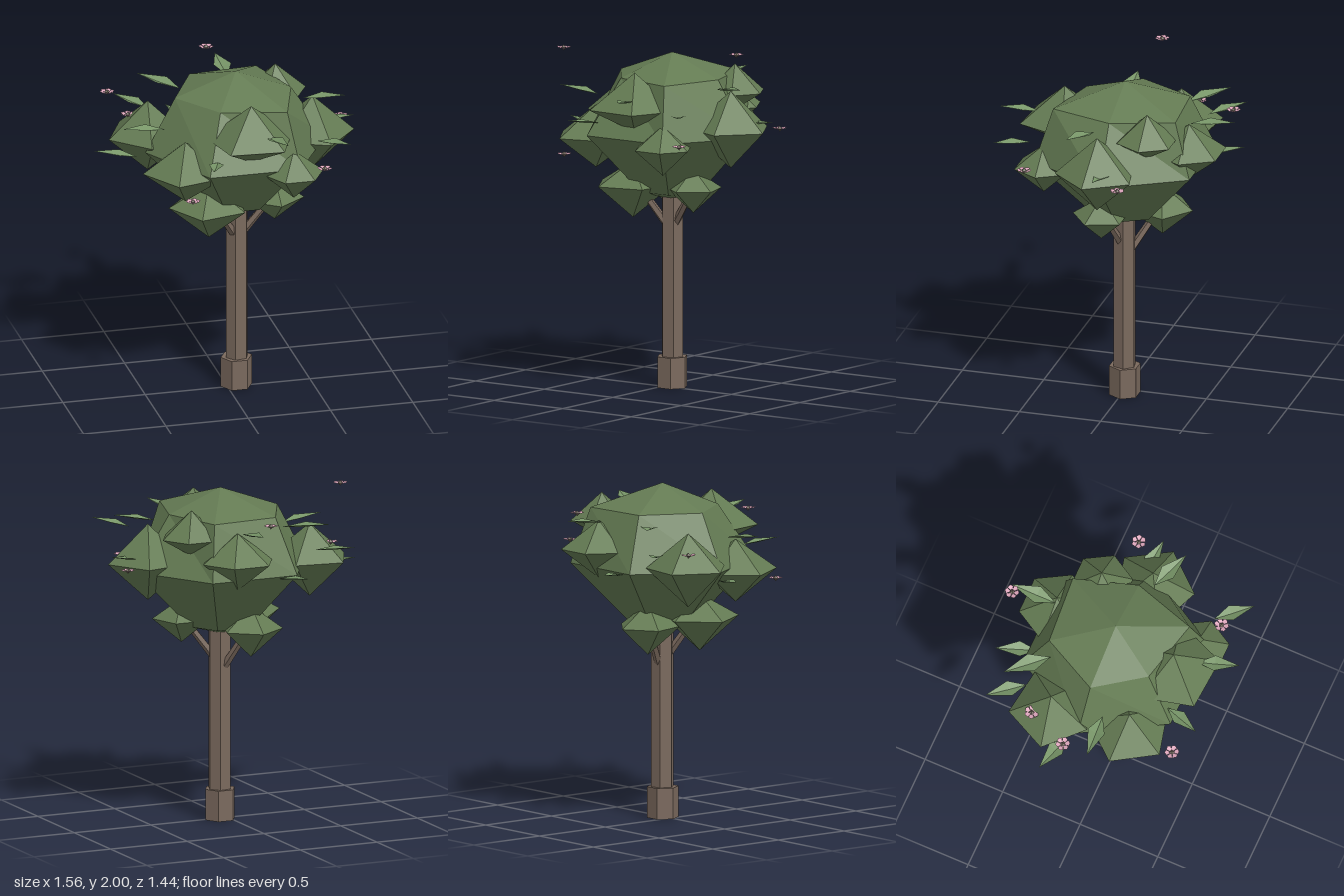
import * as THREE from 'three';

const V = (x, y, z) => new THREE.Vector3(x, y, z);
const mat = (color, extra) => new THREE.MeshStandardMaterial({ color, flatShading: true, ...extra });
const bark = mat(0x7a695d);
const foliage = mat(0x647b53);
const leafMat = mat(0x789668, { side: THREE.DoubleSide });
const petalMat = mat(0xe0a8be, { side: THREE.DoubleSide });
const budMat = mat(0x7d7368);

function add(parent, name, geometry, material, pos = V(0, 0, 0)) {
  const m = new THREE.Mesh(geometry, material);
  m.name = name;
  m.position.copy(pos);
  parent.add(m);
  return m;
}

// Faceted solid of revolution; profile [radius, y] runs bottom to top, one corner at `deg` from +x towards +z
function faceted(profile, sides, deg) {
  const pts = profile.map(([r, y]) => new THREE.Vector2(r, y));
  return new THREE.LatheGeometry(pts, sides).rotateY(THREE.MathUtils.degToRad(90 - deg));
}

// Six-sided crown whose upper ring has an uneven radius at each corner
function crownGeometry() {
  const profile = [[0, 1.12], [0.2, 1.175], [0.55, 1.535], [1, 1.865], [0, 2]];
  const g = faceted(profile, 6, 0);
  const p = g.attributes.position;
  const radii = [0.335, 0.43, 0.394, 0.37, 0.33, 0.437];
  for (let j = 0; j <= 6; j++) {
    const i = j * profile.length + 3, r = radii[j % 6];
    p.setXYZ(i, p.getX(i) * r, p.getY(i), p.getZ(i) * r);
  }
  return g;
}

// Tapered limb between two points
function limb(a, b, r0, r1, sides) {
  const d = b.clone().sub(a);
  const g = new THREE.CylinderGeometry(r1, r0, d.length(), sides);
  g.applyQuaternion(new THREE.Quaternion().setFromUnitVectors(V(0, 1, 0), d.normalize()));
  return g.translate((a.x + b.x) / 2, (a.y + b.y) / 2, (a.z + b.z) / 2);
}

// Folded pointed leaf of unit length along +z
function leafGeometry() {
  const g = new THREE.BufferGeometry();
  g.setAttribute('position', new THREE.Float32BufferAttribute([
    0, 0, 0, 0.19, 0.05, 0.42, 0, -0.02, 0.42, -0.19, 0.05, 0.42, 0, 0, 1], 3));
  g.setIndex([0, 2, 1, 0, 3, 2, 1, 2, 4, 2, 3, 4]);
  g.computeVertexNormals();
  return g;
}

// Shallow cup of six petals
function petalGeometry() {
  const pos = [];
  const at = (deg, r, y) => {
    const a = THREE.MathUtils.degToRad(deg);
    pos.push(Math.cos(a) * r, y, Math.sin(a) * r);
  };
  for (let a = 0; a < 360; a += 60) {
    at(0, 0, -0.008); at(a + 28, 0.038, 0.004); at(a, 0.044, 0.006);
    at(0, 0, -0.008); at(a, 0.044, 0.006); at(a - 28, 0.038, 0.004);
  }
  const g = new THREE.BufferGeometry();
  g.setAttribute('position', new THREE.Float32BufferAttribute(pos, 3));
  g.computeVertexNormals();
  return g;
}

export function createModel() {
  const tree = new THREE.Group();
  tree.name = 'tree';

  // Trunk with a wider foot
  add(tree, 'trunkFoot', new THREE.CylinderGeometry(0.095, 0.095, 0.185, 6).rotateY(Math.PI / 6), bark, V(0.057, 0.0925, -0.015));
  add(tree, 'trunk', new THREE.CylinderGeometry(0.07, 0.07, 1.2, 6).rotateY(Math.PI / 6 + 0.17), bark, V(0.06, 0.65, -0.015));

  // Branches reaching into the low clumps
  for (const [a, b] of [
    [V(0.03, 0.99, 0.02), V(-0.1, 1.2, 0.1)],
    [V(0.09, 0.98, 0), V(0.25, 1.2, 0.05)],
    [V(0.05, 0.92, -0.05), V(-0.04, 1.17, -0.2)],
  ]) add(tree, 'branch', limb(a, b, 0.025, 0.02, 5), bark);

  // Main crown
  add(tree, 'crown', crownGeometry(), foliage, V(0.055, 0, -0.018));

  // Clumps: centre, radius, height above and below the widest ring, sides, corner angle
  const clumps = [
    [0.055, 1.71, 0.355, 0.275, 0.215, 0.14, 5, 58],
    [0.51, 1.585, 0.02, 0.25, 0.23, 0.23, 5, 5],
    [0.3, 1.5, 0.41, 0.18, 0.14, 0.16, 6, 0],
    [-0.315, 1.5, 0.235, 0.255, 0.185, 0.19, 5, 184],
    [-0.43, 1.57, -0.22, 0.25, 0.21, 0.23, 5, 170],
    [0.14, 1.64, -0.435, 0.225, 0.17, 0.175, 6, 0],
    [0.35, 1.765, -0.24, 0.185, 0.165, 0.11, 6, 0],
    [-0.14, 1.21, 0.105, 0.24, 0.14, 0.2, 5, 185],
    [0.27, 1.215, 0.065, 0.175, 0.12, 0.145, 5, 90],
    [-0.05, 1.175, -0.215, 0.19, 0.14, 0.17, 5, 200],
  ];
  for (const [x, y, z, r, up, down, sides, deg] of clumps)
    add(tree, 'foliageClump', faceted([[0, -down], [r, 0], [0, up]], sides, deg), foliage, V(x, y, z));

  // Leaves: base x, z then tip x, y, z
  const leaf = leafGeometry();
  const leaves = [
    [-0.38, -0.4, -0.55, 1.69, -0.59],
    [-0.21, -0.32, -0.42, 1.83, -0.53],
    [-0.11, -0.45, -0.21, 1.55, -0.68],
    [0.11, -0.43, 0.1, 1.835, -0.71],
    [-0.53, -0.07, -0.78, 1.525, -0.14],
    [-0.4, 0.1, -0.67, 1.755, 0.12],
    [-0.16, 0.41, -0.24, 1.645, 0.63],
    [0.12, 0.48, 0.19, 1.805, 0.72],
    [0.43, 0.45, 0.59, 1.74, 0.64],
    [0.44, 0.06, 0.68, 1.855, 0.16],
    [0.54, -0.06, 0.78, 1.645, -0.03],
  ];
  for (const [bx, bz, x, y, z] of leaves) {
    const base = V(bx, y - 0.035, bz), tip = V(x, y, z);
    const m = add(tree, 'leaf', leaf, leafMat, base);
    m.lookAt(tip);
    m.scale.setScalar(base.distanceTo(tip));
  }

  // Loose blossoms
  const petals = petalGeometry();
  const bud = new THREE.OctahedronGeometry(0.017);
  [[-0.73, 1.95, -0.01], [0.04, 1.89, -0.68], [0.73, 1.587, -0.17],
    [-0.34, 1.422, 0.52], [0.47, 1.535, 0.48], [-0.53, 1.67, -0.3]].forEach((p, i) => {
    const blossom = new THREE.Group();
    blossom.name = 'blossom';
    blossom.position.set(...p);
    blossom.rotation.y = i * 0.7;
    add(blossom, 'petals', petals, petalMat);
    add(blossom, 'bud', bud, budMat);
    tree.add(blossom);
  });

  return tree;
}
